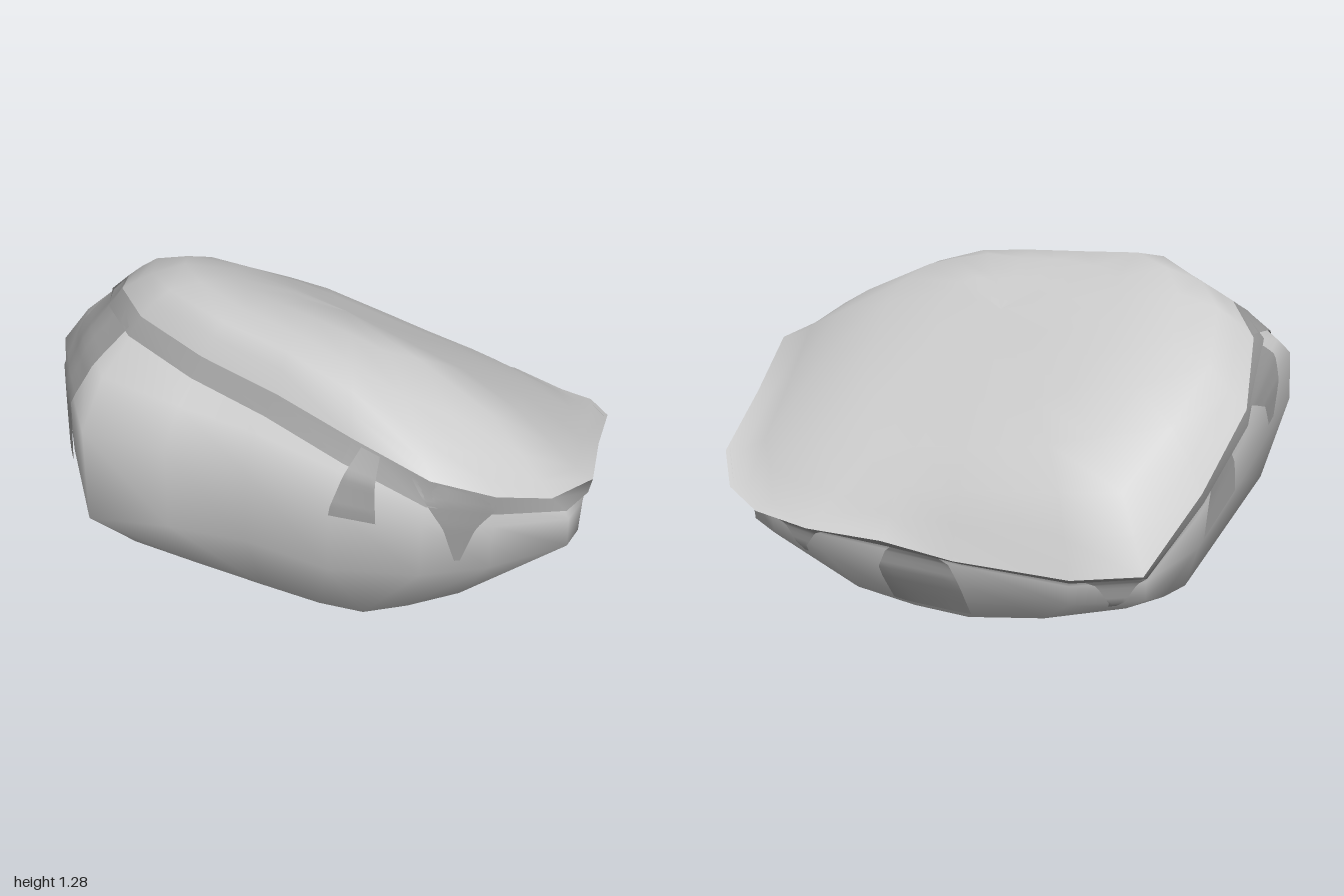
import * as THREE from 'three';

// Matching loops around the boulder, starting at +x and turning towards +z
const RIM = [
  [.87, .52, .15], [.87, .52, .38], [.84, .56, .53], [.72, .62, .67], [.42, .73, .8], [.12, .84, .95], [-.08, .87, .92],
  [-.25, .93, .82], [-.38, .99, .66], [-.44, 1.06, .4], [-.46, 1.1, .1], [-.5, 1.13, -.2], [-.5, 1.16, -.5],
  [-.4, 1.14, -.72], [-.25, 1.07, -.87], [0, .91, -.97], [.25, .7, -.95], [.52, .51, -.9], [.62, .48, -.7],
  [.72, .48, -.33], [.77, .5, -.08]];
const GIRTH = [
  [.8, .39, .15], [.81, .41, .38], [.78, .42, .5], [.66, .42, .6], [.38, .48, .74], [.1, .62, .95], [-.04, .67, .99],
  [-.25, .62, .83], [-.43, .62, .68], [-.59, .6, .42], [-.67, .6, .12], [-.78, .58, -.15], [-.9, .53, -.44],
  [-.75, .62, -.69], [-.6, .75, -.9], [-.02, .65, -.98], [.2, .48, -.94], [.46, .39, -.89], [.58, .36, -.68],
  [.67, .37, -.33], [.74, .38, -.08]];
const FOOT = [
  [.68, .22, .12], [.62, .2, .25], [.56, .17, .36], [.45, .15, .42], [.3, .2, .52], [.05, .25, .62], [-.1, .25, .62],
  [-.25, .22, .5], [-.38, .22, .4], [-.45, .22, .25], [-.54, .25, .05], [-.65, .29, -.2], [-.73, .31, -.42],
  [-.64, .38, -.62], [-.56, .43, -.83], [-.08, .16, -.77], [.15, .23, -.8], [.4, .3, -.79], [.52, .24, -.55],
  [.6, .2, -.3], [.64, .2, -.1]];
const N = RIM.length;
const mix = (a, b, t) => a + (b - a) * t;
const shoulder = (out, down) => RIM.map((r, i) => r.map((v, c) => mix(v, GIRTH[i][c], c === 1 ? down : out)));
const SIDE = [RIM, shoulder(.6, .18), shoulder(.92, .42), GIRTH, FOOT];

// Crest line along the top: [z, height]
const CREST = [[-1, .96], [-.86, 1.16], [-.65, 1.22], [-.5, 1.27], [-.33, 1.28], [-.05, 1.235], [.15, 1.235],
  [.4, 1.18], [.72, 1.01], [.83, .97], [1, .83]];

// Height of the sloping top
function topHeight(x, z) {
  const k = Math.max(1, CREST.findIndex(p => p[0] >= z));
  const [z0, h0] = CREST[k - 1], [z1, h1] = CREST[k];
  const slope = Math.min(1.14 - .667 * x, 1.15 - .4 * x) - .38 * Math.max(0, z - .2) ** 2 - .3 * Math.max(0, -z - .6);
  return Math.min(mix(h0, h1, (z - z0) / (z1 - z0)), slope);
}

// Point on the side wall: u runs around the loops, v from the rim down, pushed out by lift
function onSide(u, v, lift) {
  const i = Math.floor(u), fu = u - i, k = Math.min(Math.floor(v), SIDE.length - 2), fv = v - k;
  const a = ((i % N) + N) % N, b = (a + 1) % N;
  const p = [0, 1, 2].map(c => mix(mix(SIDE[k][a][c], SIDE[k][b][c], fu), mix(SIDE[k + 1][a][c], SIDE[k + 1][b][c], fu), fv));
  const len = Math.hypot(p[0], p[2]);
  return [p[0] + lift * p[0] / len, p[1], p[2] + lift * p[2] / len];
}

// Skin a stack of rows; closed rows wrap round
function skin(rows, closed) {
  const n = rows[0].length, index = [];
  for (let r = 0; r < rows.length - 1; r++) {
    for (let c = 0; c < (closed ? n : n - 1); c++) {
      const a = r * n + c, b = r * n + (c + 1) % n;
      index.push(a, b, a + n, b, b + n, a + n);
    }
  }
  const g = new THREE.BufferGeometry();
  g.setAttribute('position', new THREE.Float32BufferAttribute(rows.flat(2), 3));
  g.setIndex(index);
  g.computeVertexNormals();
  return g;
}

export function createModel() {
  const group = new THREE.Group();
  const stone = new THREE.MeshStandardMaterial({ color: 0xcccccc, side: THREE.DoubleSide });
  const dark = new THREE.MeshStandardMaterial({ color: 0x999999, side: THREE.DoubleSide });
  const add = (name, geometry, material) => {
    const mesh = new THREE.Mesh(geometry, material);
    mesh.name = name;
    group.add(mesh);
  };

  // Rock wall and underside, with low bumps it rests on
  const baseHeight = [.06, .05, .025, .03, .05, .06, .06, .06, .05, 0, .06, .13, .17, .18, .17, .09, .1, .12, .08, .06, .06];
  const base = FOOT.map(([x, , z], i) => {
    const f = i === 2 ? .67 : .52;
    return [x * f, baseHeight[i], z * f];
  });
  const baseCentre = FOOT.map(() => [.02, .055, -.08]);
  add('rockBody', skin([...SIDE, base, baseCentre], true), stone);

  // Smooth sloping cap, rounded over at its edge
  const cap = [1, .75, .5, .28, .13, .05].map(f => RIM.map(([x, y, z]) => {
    const px = mix(x, .05, f), pz = mix(z, -.05, f);
    const rise = f < .1 ? .5 : f < .2 ? .85 : 1;
    return [px, mix(y, topHeight(px, pz), rise), pz];
  }));
  const capEdge = RIM.map((_, i) => onSide(i, 0, .015));
  add('cap', skin([...cap, capEdge], true), stone);

  // Thin darker lip below the cap
  const lipEdge = RIM.map((r, i) => {
    const s = SIDE[1][i];
    const reach = Math.hypot(s[0] - r[0], s[1] - r[1], s[2] - r[2]);
    return onSide(i, Math.min(1.2, .085 / reach), .012);
  });
  add('capLip', skin([capEdge, lipEdge], true), dark);

  // Darker patches running down the wall: [centre, half width at top, at bottom, depth]
  const patches = [
    [7.5, .75, .04, 2.7], [8.75, .12, .25, 2.1], [4, .08, .45, 2.5], [19.6, .2, .65, 3.85], [.4, .7, .04, 3.1],
    [17.4, .6, .05, 3.2], [13, .9, .15, 3], [14.5, .45, .05, 2.6], [15.6, .15, .35, 2.8]];
  for (const [u, top, bottom, depth] of patches) {
    const rows = [];
    for (let r = 0; r <= 12; r++) {
      const t = r / 12, half = mix(top, bottom, t), row = [];
      for (let c = -3; c <= 3; c++) row.push(onSide(u + half * c / 3, mix(.1, depth, t), .012));
      rows.push(row);
    }
    add('wallPatch', skin(rows, false), dark);
  }
  return group;
}
